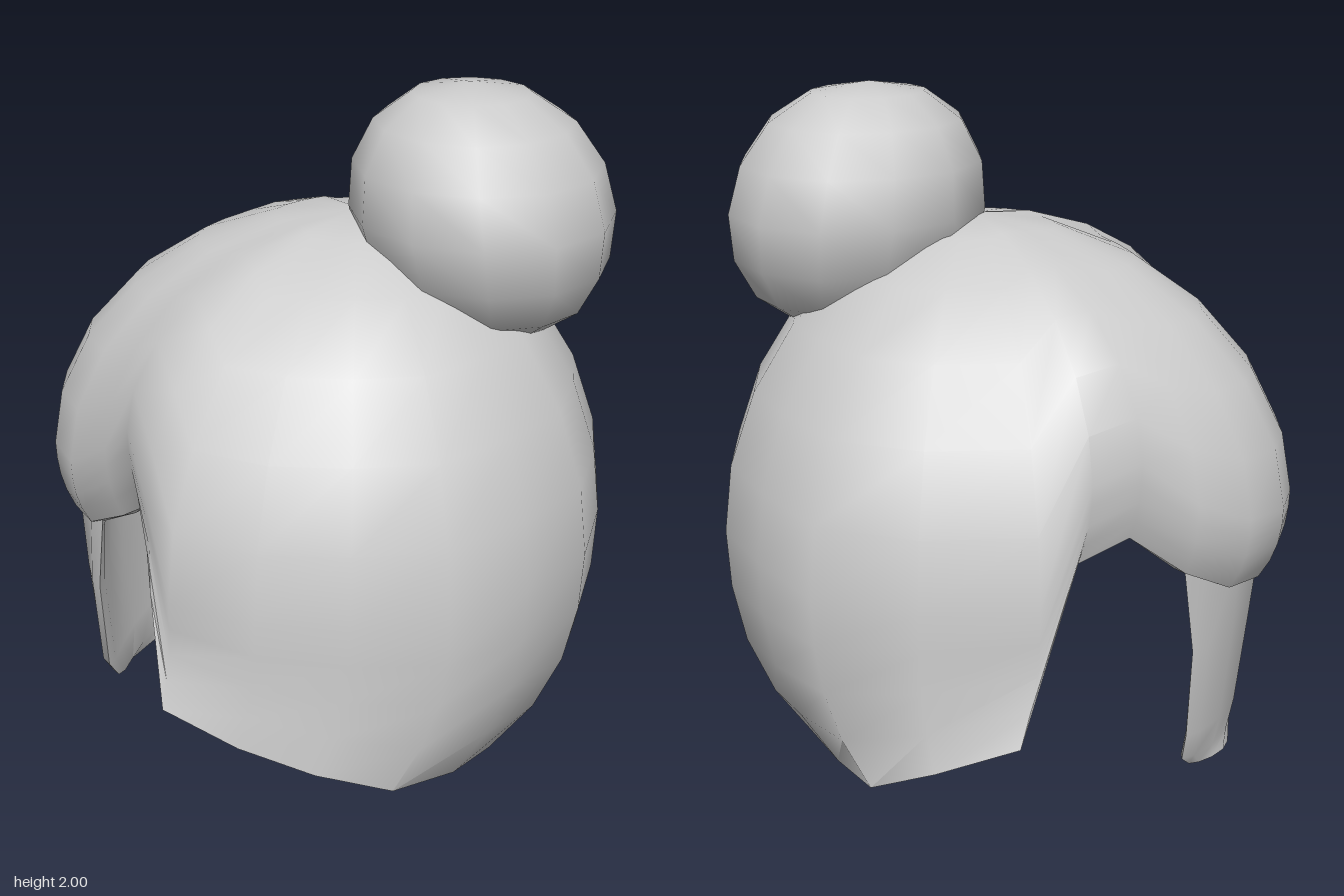
import * as THREE from 'three';
import { toCreasedNormals } from 'three/addons/utils/BufferGeometryUtils.js';

const CREASE = 0.75;

// Skins a stack of closed rings; the first and last rings are single points.
function skin(rows) {
  const n = rows[0].length, index = [];
  for (let r = 0; r < rows.length - 1; r++) {
    for (let j = 0; j < n; j++) {
      const k = (j + 1) % n;
      const a = r * n + j, b = r * n + k, c = a + n, d = b + n;
      if (r > 0) index.push(a, b, d);
      if (r < rows.length - 2) index.push(a, d, c);
    }
  }
  const geo = new THREE.BufferGeometry();
  geo.setAttribute('position', new THREE.Float32BufferAttribute(rows.flat(2), 3));
  geo.setIndex(index);
  return toCreasedNormals(geo, CREASE);
}

// Columns around the shell: widest x, z, then hem x, z, y
const COLUMNS = [
  [-0.85, -0.13, -0.80, -0.13, 0.65],
  [-0.83, -0.28, -0.77, -0.27, 0.65],
  [-0.74, -0.43, -0.69, -0.40, 0.67],
  [-0.60, -0.54, -0.57, -0.50, 0.75],
  [-0.45, -0.60, -0.42, -0.58, 0.88],
  [-0.33, -0.70, -0.29, -0.71, 0.85],
  [-0.21, -0.80, -0.17, -0.87, 0.38],
  [0.10, -0.87, 0.06, -0.88, 0.29],
  [0.40, -0.82, 0.25, -0.83, 0.20],
  [0.61, -0.61, 0.42, -0.55, 0.10],
  [0.77, -0.41, 0.54, -0.34, 0.04],
  [0.845, -0.10, 0.59, -0.14, 0.00],
  [0.83, 0.13, 0.59, 0.17, 0.00],
  [0.77, 0.41, 0.53, 0.36, 0.04],
  [0.60, 0.62, 0.42, 0.57, 0.10],
  [0.39, 0.81, 0.25, 0.84, 0.23],
  [0.13, 0.86, 0.04, 0.88, 0.30],
  [-0.12, 0.86, -0.17, 0.87, 0.37],
  [-0.36, 0.77, -0.38, 0.82, 0.45],
  [-0.43, 0.64, -0.42, 0.71, 0.75],
  [-0.51, 0.47, -0.47, 0.50, 0.90],
  [-0.61, 0.32, -0.57, 0.31, 0.77],
  [-0.74, 0.21, -0.70, 0.17, 0.67],
  [-0.83, 0.03, -0.78, 0.03, 0.65],
];

// A rounded dome down to the widest ring, then a side curving in to the hem.
function shellRows(scale, top) {
  const apexX = 0.1 * scale, rows = [];
  const mid = (c) => Math.max(0.75, c[4] + 0.22);
  for (let i = 0; i <= 6; i++) {
    const phi = (i / 6) * Math.PI / 2, s = Math.sin(phi);
    const rise = Math.max(0, Math.cos(phi)) ** 1.1;
    rows.push(COLUMNS.map((c) => [
      apexX + (c[0] * scale - apexX) * s,
      mid(c) + (top - mid(c)) * rise,
      c[1] * scale * s,
    ]));
  }
  for (let i = 1; i <= 4; i++) {
    const t = i / 4, b = t ** 2.5;
    rows.push(COLUMNS.map((c) => [
      THREE.MathUtils.lerp(c[0], c[2], b) * scale,
      THREE.MathUtils.lerp(mid(c), c[4], t),
      THREE.MathUtils.lerp(c[1], c[3], b) * scale,
    ]));
  }
  return rows;
}

// Hanging front flap: slab sections of y, x, centre z, half width, bend, half thickness
const FLAP = [
  [0.95, -0.73, -0.12, 0.34, 0.14, 0.045],
  [0.72, -0.73, -0.11, 0.31, 0.12, 0.045],
  [0.45, -0.71, -0.10, 0.28, 0.07, 0.04],
  [0.15, -0.68, -0.09, 0.25, 0.05, 0.04],
  [0.06, -0.66, -0.12, 0.20, 0.04, 0.04],
  [0.01, -0.66, -0.16, 0.10, 0.02, 0.035],
];

function flapRows() {
  const ring = ([y, x, z, w, bend, t], size = 1) => Array.from({ length: 12 }, (_, i) => {
    const a = (i / 12) * Math.PI * 2, u = Math.cos(a) * size;
    return [x + bend * u * u - 0.045 * u - t * Math.sin(a) * size, y, z + w * u];
  });
  return [ring(FLAP[0], 0), ...FLAP.map((f) => ring(f)), ring(FLAP[FLAP.length - 1], 0)];
}

// Slightly squared ball whose top leans towards -x
function bobbleGeometry() {
  const geo = new THREE.SphereGeometry(1, 12, 8);
  const p = geo.attributes.position;
  for (let i = 0; i < p.count; i++) {
    const y = p.getY(i) * 0.36;
    const ring = Math.hypot(p.getX(i), p.getZ(i));
    const swell = ring > 0.01 ? ring ** -0.15 : 1;
    p.setXYZ(i, p.getX(i) * swell * 0.38 - y * 0.12, y, p.getZ(i) * swell * 0.42);
  }
  return toCreasedNormals(geo, CREASE);
}

export function createModel() {
  const group = new THREE.Group();
  const grey = new THREE.MeshStandardMaterial({ color: 0xcccccc });
  grey.name = 'lightGrey';
  const add = (name, geo) => {
    const mesh = new THREE.Mesh(geo, grey);
    mesh.name = name;
    group.add(mesh);
    return mesh;
  };

  // Hollow cap with a thin wall
  add('capShell', skin([...shellRows(1, 1.63), ...shellRows(0.94, 1.57).reverse()]));

  // Flap below the front lobe
  add('frontFlap', skin(flapRows()));

  // Round bobble set on the back of the crown
  add('bobble', bobbleGeometry()).position.set(0.45, 1.64, 0.01);

  return group;
}
